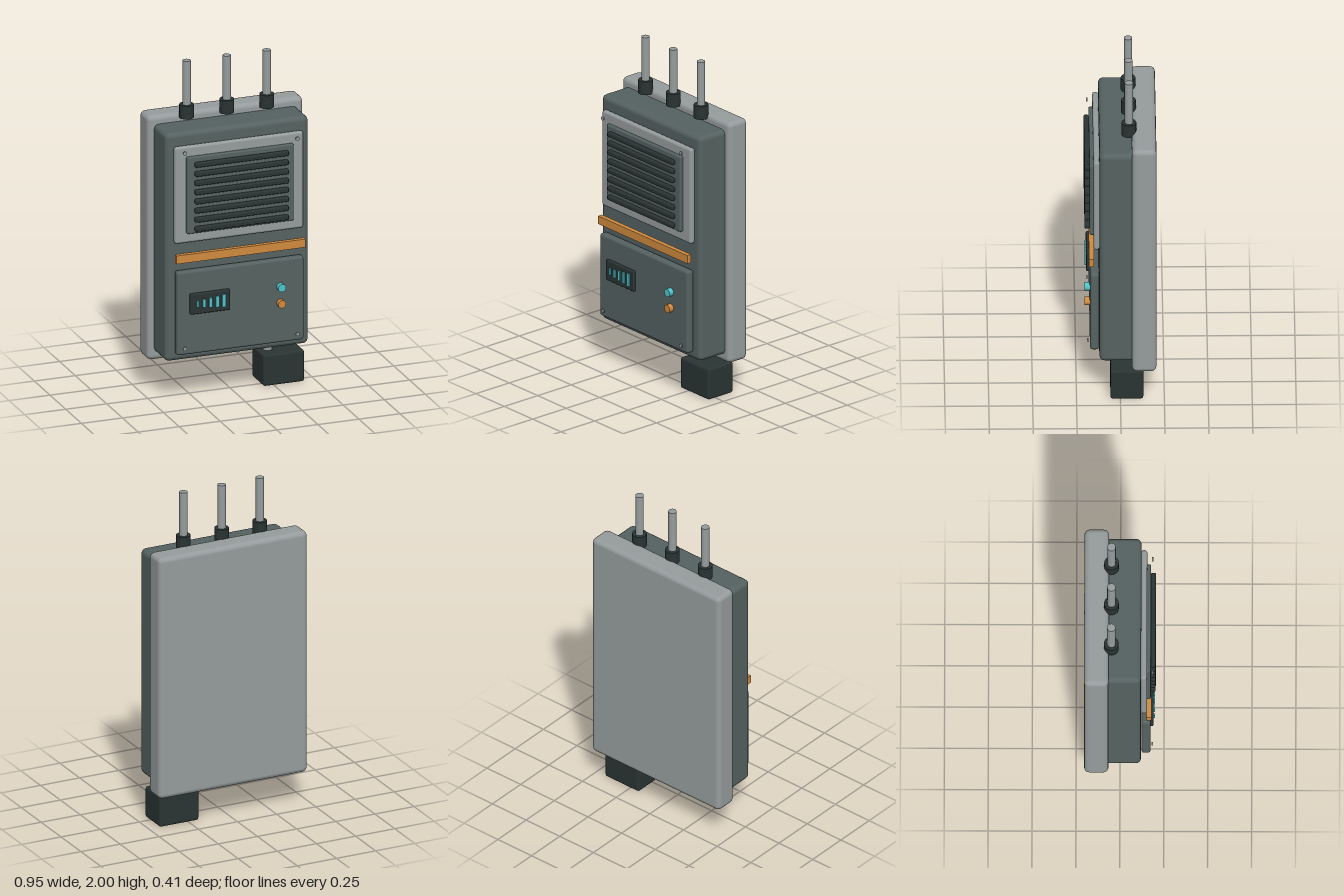
import * as THREE from 'three';
import { RoundedBoxGeometry } from 'three/addons/geometries/RoundedBoxGeometry.js';

const material = (name, color) => {
  const m = new THREE.MeshStandardMaterial({ color });
  m.name = name;
  return m;
};

export function createModel() {
  const model = new THREE.Group();
  model.name = 'wallRadio';
  const grey = material('light grey', 0x969c9d);
  const slate = material('slate green', 0x556261);
  const dark = material('dark rubber', 0x2a3433);
  const orange = material('orange', 0xd08a3e);
  const cyan = material('cyan', 0x50c4cc);

  const add = (name, geometry, mat, x = 0, y = 0, z = 0) => {
    const mesh = new THREE.Mesh(geometry, mat);
    mesh.name = name;
    mesh.position.set(x, y, z);
    model.add(mesh);
    return mesh;
  };
  // Box given by its limits, with softened edges when r > 0
  const box = (name, mat, [x0, x1], [y0, y1], [z0, z1], r = 0) => {
    const size = [x1 - x0, y1 - y0, z1 - z0];
    const geometry = r ? new RoundedBoxGeometry(...size, 2, r) : new THREE.BoxGeometry(...size);
    return add(name, geometry, mat, (x0 + x1) / 2, (y0 + y1) / 2, (z0 + z1) / 2);
  };
  const rod = (name, mat, r, x, y0, y1, z) =>
    add(name, new THREE.CylinderGeometry(r, r, y1 - y0, 20), mat, x, (y0 + y1) / 2, z);
  // Short disc facing the front
  const disc = (name, mat, r, x, y, z0, z1, sides = 12) => {
    const geometry = new THREE.CylinderGeometry(r, r, z1 - z0, sides).rotateX(Math.PI / 2);
    return add(name, geometry, mat, x, y, (z0 + z1) / 2);
  };

  // Casing
  box('backHousing', grey, [-0.475, 0.475], [0.2, 1.68], [-0.205, -0.065], 0.03);
  box('mainBody', slate, [-0.437, 0.437], [0.25, 1.63], [-0.1, 0.12], 0.03);

  // Speaker
  box('speakerFrame', grey, [-0.392, 0.392], [0.97, 1.555], [0.118, 0.153], 0.015);
  box('speakerPanel', slate, [-0.326, 0.326], [1.03, 1.495], [0.148, 0.175], 0.01);
  for (let i = 0; i < 8; i++) {
    const y = 1.062 + i * 0.0555;
    box('speakerSlat', dark, [-0.285, 0.285], [y - 0.015, y + 0.015], [0.174, 0.203], 0.009);
  }

  // Stripe and control panel
  box('accentStripe', orange, [-0.392, 0.392], [0.86, 0.91], [0.15, 0.178]);
  box('controlPanel', slate, [-0.387, 0.387], [0.3, 0.805], [0.122, 0.173], 0.015);
  box('displayScreen', dark, [-0.312, -0.068], [0.545, 0.67], [0.165, 0.19], 0.008);
  for (let i = 0; i < 5; i++) {
    const x = -0.27 + i * 0.04;
    const w = 0.007 + i * 0.001;
    const h = 0.019 + i * 0.0047;
    box('signalBar', cyan, [x - w, x + w], [0.608 - h, 0.608 + h], [0.189, 0.198]);
  }
  disc('upperLamp', cyan, 0.024, 0.242, 0.64, 0.172, 0.203);
  disc('lowerLamp', orange, 0.024, 0.242, 0.542, 0.172, 0.203);

  // Corner screws
  for (const x of [-0.343, 0.343]) {
    disc('speakerScrew', grey, 0.012, x, 1.527, 0.18, 0.188);
    disc('panelScrew', grey, 0.011, x, 0.342, 0.18, 0.188);
  }

  // Antennas with collars
  for (const x of [-0.244, 0, 0.244]) {
    rod('antennaCollar', dark, 0.042, x, 1.655, 1.735, -0.05);
    rod('antennaRod', grey, 0.024, x, 1.73, 2, -0.05);
  }

  // Cable plug under the casing
  rod('plugStem', grey, 0.027, 0.244, 0.18, 0.27, -0.037);
  box('plugBlock', dark, [0.184, 0.436], [0, 0.19], [-0.13, 0.057], 0.015);

  return model;
}
